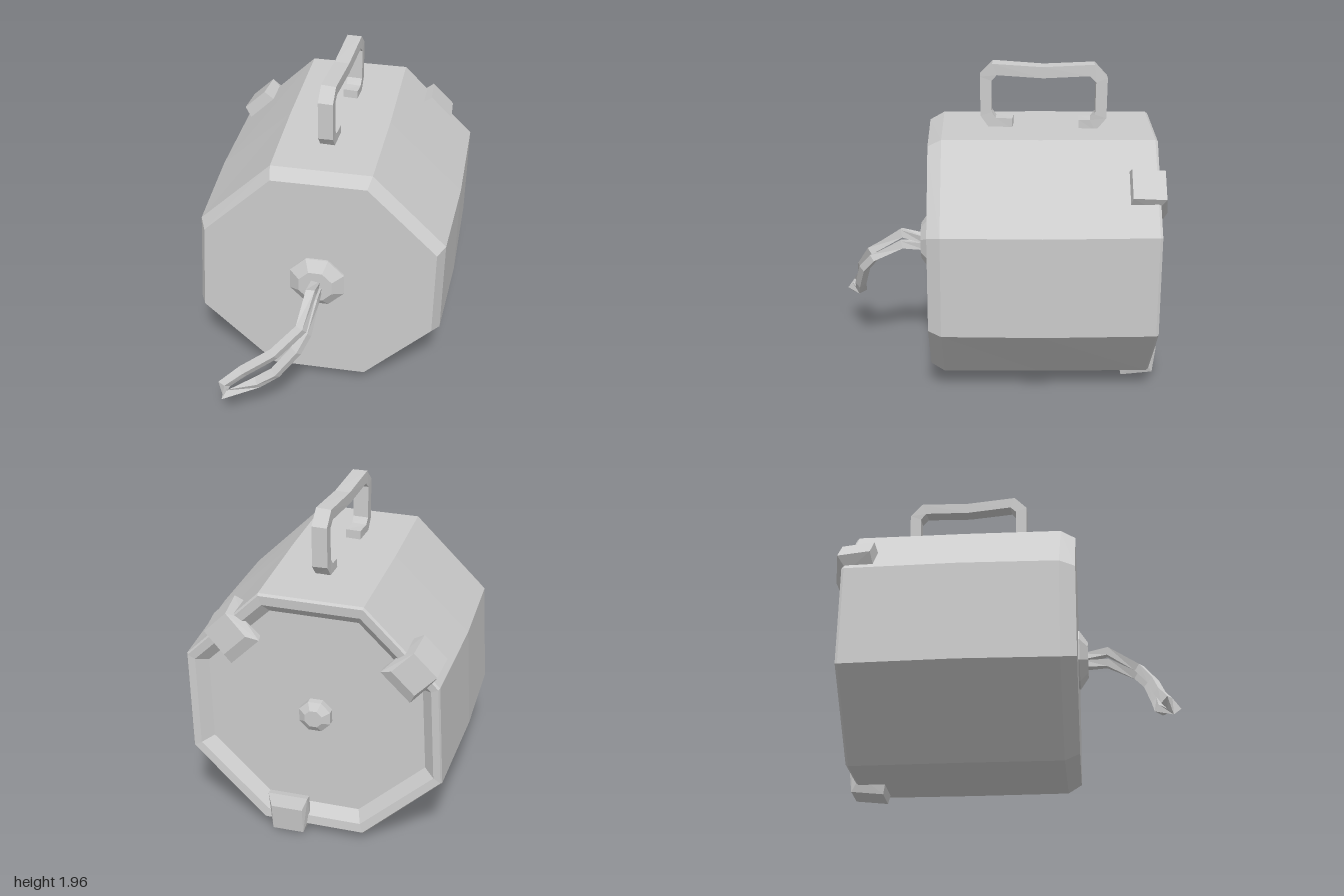
import * as THREE from 'three';

const mat = new THREE.MeshStandardMaterial({ color: 0xcccccc, flatShading: true });
const V = (x, y, z) => new THREE.Vector3(x, y, z);

// Skin a list of equal rings (counter-clockwise seen along the travel) and cap both ends
function loft(rings) {
  const pos = [];
  const tri = (...pts) => pts.forEach((p) => pos.push(p.x, p.y, p.z));
  const n = rings[0].length;
  const centre = (ring) => ring.reduce((s, p) => s.add(p), V(0, 0, 0)).divideScalar(n);
  const first = rings[0], last = rings[rings.length - 1];
  const c0 = centre(first), c1 = centre(last);
  for (let i = 0; i < n; i++) {
    const j = (i + 1) % n;
    for (let k = 0; k < rings.length - 1; k++) {
      const a = rings[k], b = rings[k + 1];
      tri(a[i], a[j], b[j]);
      tri(a[i], b[j], b[i]);
    }
    tri(c0, first[j], first[i]);
    tri(c1, last[i], last[j]);
  }
  const g = new THREE.BufferGeometry();
  g.setAttribute('position', new THREE.Float32BufferAttribute(pos, 3));
  g.computeVertexNormals();
  return g;
}

// Sweep a rectangular bar along a polyline; ref sets the direction of its width
function bar(points, width, thick, ref) {
  const rings = points.map((p, i) => {
    const a = points[Math.max(i - 1, 0)], b = points[Math.min(i + 1, points.length - 1)];
    const din = (i > 0 ? p.clone().sub(a) : b.clone().sub(p)).normalize();
    const dout = (i < points.length - 1 ? b.clone().sub(p) : din.clone()).normalize();
    const t = din.clone().add(dout).normalize();
    const mitre = Math.min(1 / Math.max(t.dot(din), 0.1), 1.4);
    const u = ref.clone().addScaledVector(t, -ref.dot(t)).normalize();
    const v = t.clone().cross(u);
    return [[1, 1], [-1, 1], [-1, -1], [1, -1]].map(([s, q]) =>
      p.clone().addScaledVector(u, s * width / 2).addScaledVector(v, q * mitre * thick / 2));
  });
  return loft(rings);
}

function add(group, geometry, name) {
  const mesh = new THREE.Mesh(geometry, mat);
  mesh.name = name;
  group.add(mesh);
  return mesh;
}

export function createModel() {
  const model = new THREE.Group();
  model.name = 'lidded canister';
  const cy = 0.81;

  // Slightly uneven eight-sided body with a recessed back and a bevelled front
  const octagon = [[0.32, 1.565], [-0.3, 1.56], [-0.745, 1.12], [-0.775, 0.5],
    [-0.3, 0.055], [0.32, 0.06], [0.765, 0.5], [0.775, 1.12]];
  const ring = (z, sx, sy = sx, lean = 0) =>
    octagon.map(([x, y]) => V(x * sx, cy + (y - cy) * sy, z - lean * x));
  add(model, loft([
    ring(-0.87, 0.83),
    ring(-0.93, 0.91),
    ring(-0.935, 0.965, 0.985),
    ring(-0.92, 0.975, 1),
    ring(-0.25, 1),
    ring(0.335, 0.98, 1),
    ring(0.42, 0.925, 0.94, 0.01),
  ]), 'body');

  // Eight-sided bosses: front pivot and back knob
  const disc = (r, z) => Array.from({ length: 8 }, (_, i) => {
    const a = (i + 0.5) * Math.PI / 4;
    return V(r * Math.cos(a), cy + r * Math.sin(a), z);
  });
  add(model, loft([disc(0.18, 0.4), disc(0.18, 0.43), disc(0.11, 0.48)]), 'frontBoss');
  add(model, loft([disc(0.055, -0.94), disc(0.1, -0.91), disc(0.1, -0.86)]), 'backKnob');

  // Carrying handle with inward-turned feet
  const handle = [[-0.09, 1.582], [0.03, 1.582], [0.072, 1.64], [0.075, 1.86], [0.02, 1.918], [-0.27, 1.902],
    [-0.56, 1.92], [-0.617, 1.86], [-0.615, 1.64], [-0.57, 1.582], [-0.485, 1.582]];
  add(model, bar(handle.map(([z, y]) => V(-0.01 + (0.07 - z) * 0.07, y, z)), 0.09, 0.068, V(1, 0, 0)), 'handle');

  // Hanging cord loop, out along one strand and back along the other
  const cord = [
    V(0, 0.82, 0.45), V(0, 0.86, 0.6), V(-0.02, 0.735, 0.79), V(-0.17, 0.58, 0.865),
    V(-0.36, 0.43, 0.89), V(-0.47, 0.335, 0.925), V(-0.455, 0.29, 0.965),
    V(-0.27, 0.36, 0.895), V(-0.16, 0.45, 0.885), V(-0.04, 0.61, 0.845),
    V(0.005, 0.695, 0.78), V(0.015, 0.79, 0.6), V(0.01, 0.78, 0.45)];
  add(model, bar(cord, 0.055, 0.045, V(0.8, 0, 0.6)), 'cordLoop');

  // Clips hooked over the back rim: L profile in (z, radius), narrower on the outside
  const profile = [[-0.75, 0.7], [-0.91, 0.7], [-0.91, 0.56], [-0.955, 0.55], [-0.985, 0.62],
    [-0.965, 0.79], [-0.77, 0.81]].map(([z, r]) => new THREE.Vector2(z, r));
  const clip = new THREE.ExtrudeGeometry(new THREE.Shape(profile), { depth: 0.24, bevelEnabled: false });
  clip.translate(0, 0, -0.12).rotateY(-Math.PI / 2);
  const p = clip.attributes.position;
  for (let i = 0; i < p.count; i++) {
    if (p.getY(i) > 0.75 || p.getZ(i) < -0.97) p.setX(i, p.getX(i) * 0.78);
  }
  clip.computeVertexNormals();
  [['leftClip', -Math.PI / 4, 0], ['rightClip', Math.PI / 4, -0.13], ['bottomClip', Math.PI, -0.16]]
    .forEach(([name, angle, shift]) => {
      const mesh = add(model, clip, name);
      mesh.position.set(shift * Math.cos(angle), cy + shift * Math.sin(angle), 0);
      mesh.rotation.z = angle;
    });

  return model;
}
